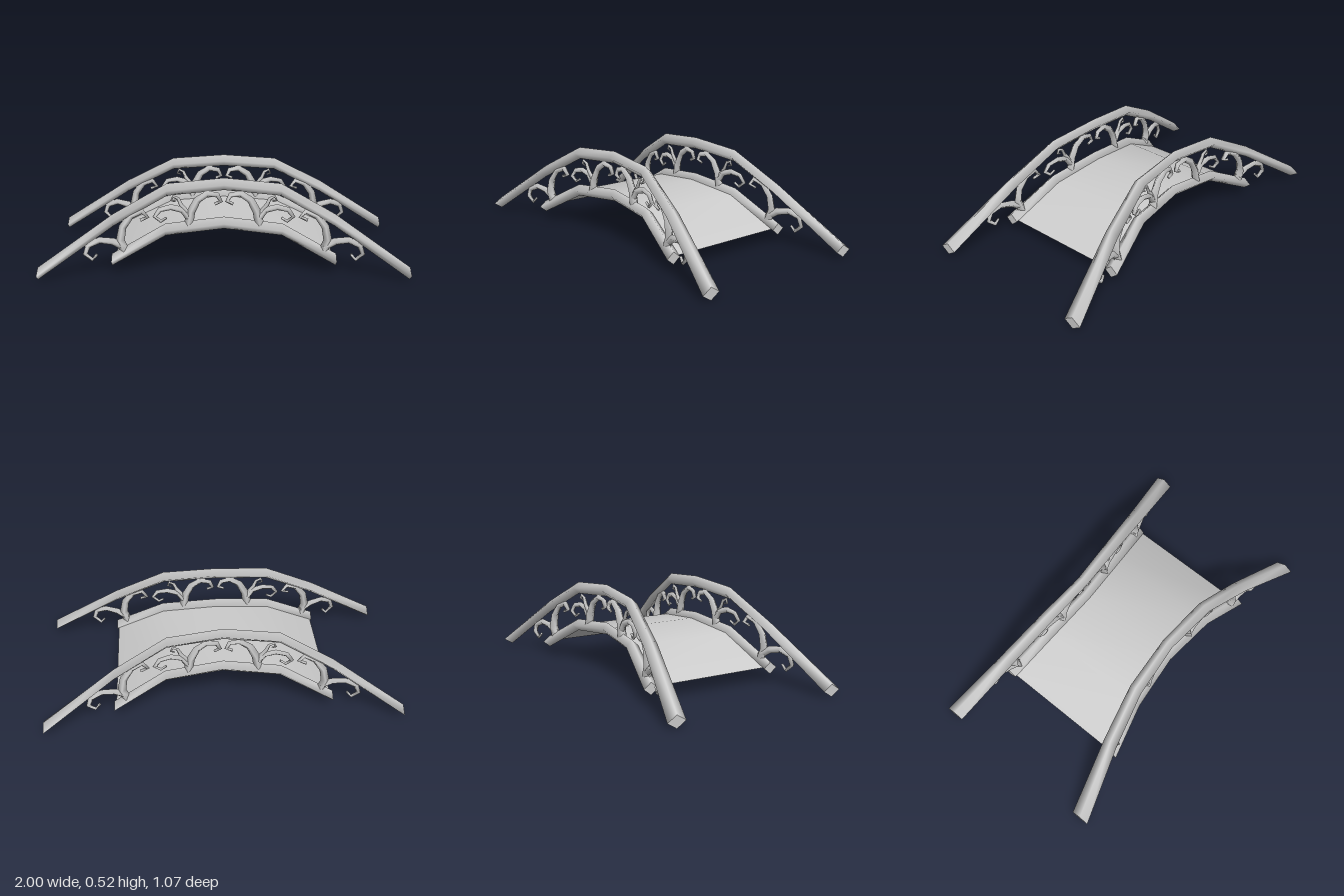
import * as THREE from 'three';

const material = new THREE.MeshStandardMaterial({ color: 0xcccccc, side: THREE.DoubleSide });

// The bridge flares outwards towards its ends: distance from the centre line and rail half width at x
const stations = [[0, 0.303, 0.033], [0.31, 0.325, 0.037], [0.6, 0.382, 0.042], [1, 0.481, 0.053]];
function flare(x) {
  const a = Math.abs(x);
  let i = 0;
  while (i < stations.length - 2 && a > stations[i + 1][0]) i++;
  const [p, q] = [stations[i], stations[i + 1]];
  const t = (a - p[0]) / (q[0] - p[0]);
  return { z: p[1] + (q[1] - p[1]) * t, width: p[2] + (q[2] - p[2]) * t };
}

// Sweep a four-sided diamond along rings of { centre, up, r (along up), w (along z) }
function sweep(name, rings) {
  const pos = [], index = [];
  const addRing = ({ centre, up, r, w }) => {
    for (let j = 0; j < 4; j++) {
      const c = Math.round(Math.cos(j * Math.PI / 2)), s = Math.round(Math.sin(j * Math.PI / 2));
      pos.push(centre.x + up.x * c * r, centre.y + up.y * c * r, centre.z + s * w);
    }
  };
  rings.forEach(addRing);
  for (let i = 0; i < rings.length - 1; i++) {
    for (let j = 0; j < 4; j++) {
      const a = i * 4 + j, b = i * 4 + (j + 1) % 4;
      index.push(a, b, a + 4, b, b + 4, a + 4);
    }
  }
  // End caps with their own vertices keep a sharp edge
  const n = rings.length * 4;
  addRing(rings[0]);
  addRing(rings[rings.length - 1]);
  index.push(n, n + 2, n + 1, n, n + 3, n + 2, n + 4, n + 5, n + 6, n + 4, n + 6, n + 7);
  return makeMesh(name, pos, index);
}

function makeMesh(name, pos, index) {
  const geometry = new THREE.BufferGeometry();
  geometry.setAttribute('position', new THREE.Float32BufferAttribute(pos, 3));
  geometry.setIndex(index);
  geometry.computeVertexNormals();
  const mesh = new THREE.Mesh(geometry, material);
  mesh.name = name;
  return mesh;
}

// Half profiles [x, y], from the crown to the end
const handrailHalf = [[0, 0.487], [0.31, 0.461], [0.6, 0.306], [1, 0.036]];
const lowerHalf = [[0, 0.268], [0.32, 0.236], [0.612, 0.082]];
const mirrored = half => [...half.slice(1).reverse().map(([x, y]) => [-x, y]), ...half];

function rail(name, half, side) {
  const up = new THREE.Vector3(0, 1, 0);
  return sweep(name, mirrored(half).map(([x, y]) => {
    const { z, width } = flare(x);
    return { centre: new THREE.Vector3(x, y, z * side), up, r: 0.034, w: width };
  }));
}

// Curling branches: thickness at the root, then control points [x, y]
const branches = [
  ['innerStem', 0.026, [[0.195, 0.26], [0.18, 0.335], [0.145, 0.40], [0.09, 0.435], [0.035, 0.425], [0.018, 0.39], [0.05, 0.375]]],
  ['innerSideScroll', 0.021, [[0.185, 0.29], [0.225, 0.345], [0.29, 0.362], [0.35, 0.35], [0.378, 0.312], [0.345, 0.284], [0.315, 0.302]]],
  ['innerTendril', 0.013, [[0.2, 0.33], [0.235, 0.375], [0.25, 0.41], [0.277, 0.422], [0.287, 0.40], [0.265, 0.393]]],
  ['outerStem', 0.027, [[0.545, 0.13], [0.565, 0.19], [0.55, 0.265], [0.505, 0.325], [0.445, 0.347], [0.417, 0.312], [0.455, 0.297]]],
  ['outerSideScroll', 0.023, [[0.545, 0.15], [0.605, 0.185], [0.675, 0.198], [0.735, 0.172], [0.752, 0.125], [0.715, 0.09], [0.69, 0.118]]],
];

function scroll(name, thickness, points, sx, side) {
  const curve = points.map(([x, y]) => new THREE.Vector2(x * sx, y));
  const last = curve.length - 1;
  return sweep(name, curve.map((p, i) => {
    const before = curve[Math.max(i - 1, 0)], after = curve[Math.min(i + 1, last)];
    const t = after.clone().sub(before).normalize();
    const r = thickness * (1 - 0.65 * i / last);
    return {
      centre: new THREE.Vector3(p.x, p.y, flare(p.x).z * side),
      up: new THREE.Vector3(-t.y, t.x, 0), r, w: r * 1.1,
    };
  }));
}

// Thin arched walkway between the lower rails
function deck() {
  const pos = [], index = [];
  const profile = mirrored([[0, 0.267], [0.32, 0.236], [0.602, 0.087]]);
  profile.forEach(([x, y], i) => {
    const z = flare(x).z;
    pos.push(x, y, z, x, y, -z);
    if (i > 0) {
      const a = i * 2 - 2;
      index.push(a, a + 2, a + 1, a + 1, a + 2, a + 3);
    }
  });
  return makeMesh('deck', pos, index);
}

export function createModel() {
  const model = new THREE.Group();
  model.name = 'archedBridge';
  model.add(deck());
  for (const side of [1, -1]) {
    const railing = new THREE.Group();
    railing.name = side > 0 ? 'frontRailing' : 'backRailing';
    railing.add(rail('handrail', handrailHalf, side), rail('lowerRail', lowerHalf, side));
    for (const sx of [1, -1]) {
      const ornament = new THREE.Group();
      ornament.name = sx > 0 ? 'leftScrollwork' : 'rightScrollwork';
      for (const [name, thickness, points] of branches) {
        ornament.add(scroll(name, thickness, points, sx, side));
      }
      railing.add(ornament);
    }
    model.add(railing);
  }
  return model;
}
